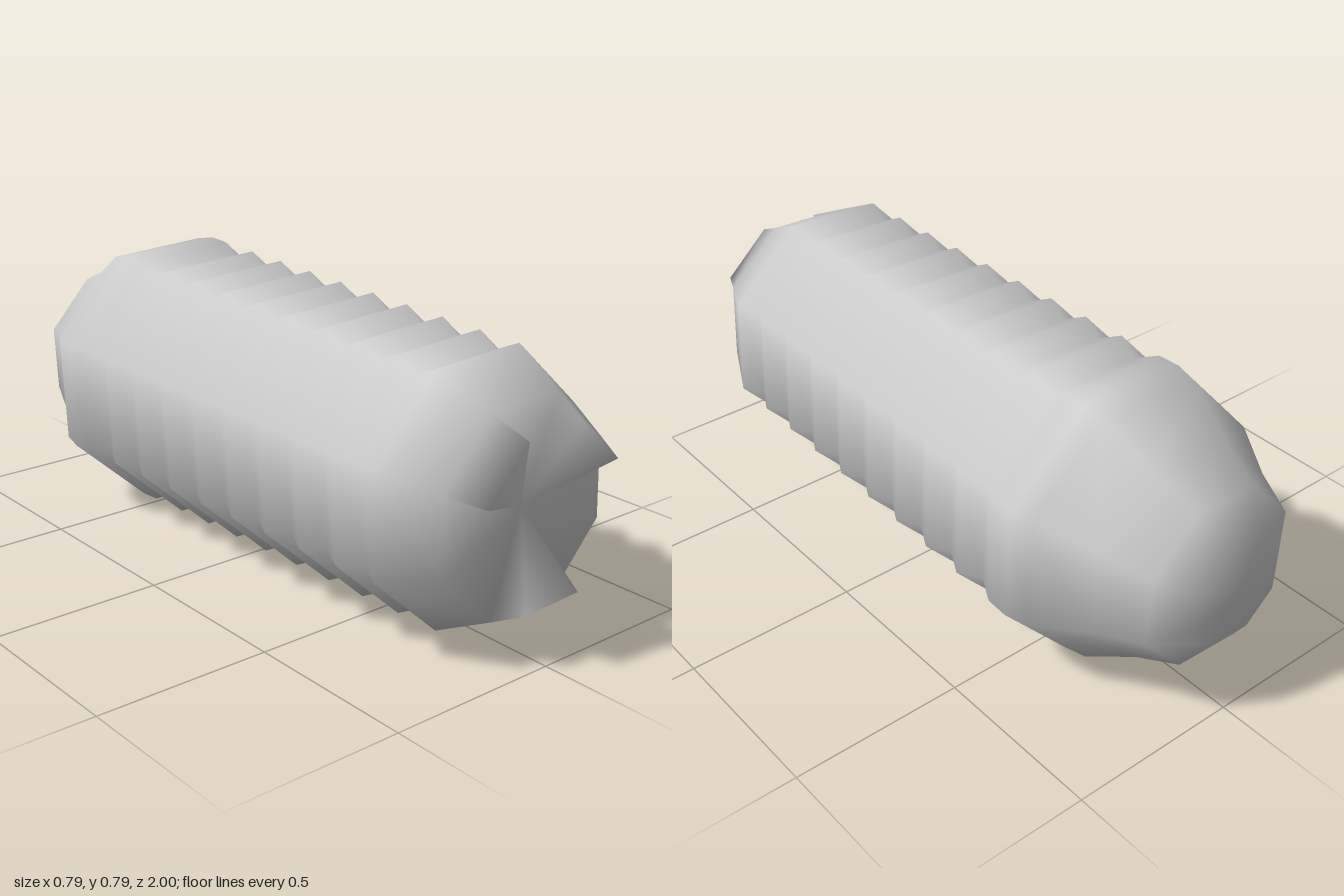
import * as THREE from 'three';

const SIDES = 8;
const CENTRE_Y = 0.397;
const START = THREE.MathUtils.degToRad(25); // slight roll of the octagon

// Radius and z of each octagonal ring, from the tail to the front
function bodyRings() {
  const rings = [[0.15, -1], [0.257, -0.93], [0.315, -0.8], [0.407, -0.65], [0.422, -0.58], [0.419, -0.512]];
  const folds = 9, step = 0.139;
  for (let i = 1; i <= folds; i++) {
    const z = -0.512 + i * step;
    const peak = 0.419 - 0.036 * i / folds;
    rings.push([peak - 0.034, z - step / 2], [peak, z]); // valley, then ridge
  }
  rings.push([0.3, 0.9]);
  return rings;
}

function buildBody() {
  const positions = [], index = [];
  const add = (r, z, k) => {
    const a = START + (k / SIDES) * Math.PI * 2;
    positions.push(r * Math.cos(a), CENTRE_Y + r * Math.sin(a), z);
    return positions.length / 3 - 1;
  };
  const quad = (a, b, c, d) => index.push(a, b, c, a, c, d);

  // Ribbed skin
  const rings = bodyRings().map(([r, z]) =>
    Array.from({ length: SIDES }, (_, k) => add(r, z, k)));
  for (let i = 0; i < rings.length - 1; i++) {
    for (let k = 0; k < SIDES; k++) {
      const n = (k + 1) % SIDES;
      quad(rings[i][k], rings[i][n], rings[i + 1][n], rings[i + 1][k]);
    }
  }

  // Tail cap and mouth, with three raised jaw wedges
  const tail = add(0, -1, 0), throat = add(0, 0.89, 0);
  const back = rings[0], front = rings[rings.length - 1];
  const jaws = [0, 2, 5];
  for (let k = 0; k < SIDES; k++) {
    const n = (k + 1) % SIDES;
    index.push(tail, back[n], back[k]);
    if (jaws.includes(k)) {
      const t0 = add(0.247, 1, k), t1 = add(0.247, 1, k + 1);
      quad(front[k], front[n], t1, t0);
      index.push(throat, t0, t1, throat, front[k], t0, throat, t1, front[n]);
    } else {
      index.push(throat, front[k], front[n]);
    }
  }

  const geometry = new THREE.BufferGeometry();
  geometry.setAttribute('position', new THREE.Float32BufferAttribute(positions, 3));
  geometry.setIndex(index);
  geometry.computeVertexNormals();
  return geometry;
}

export function createModel() {
  const group = new THREE.Group();
  group.name = 'ribbedGrub';
  const body = new THREE.Mesh(buildBody(), new THREE.MeshStandardMaterial({ color: 0xcccccc }));
  body.name = 'bodyWithJaws';
  group.add(body);
  return group;
}
